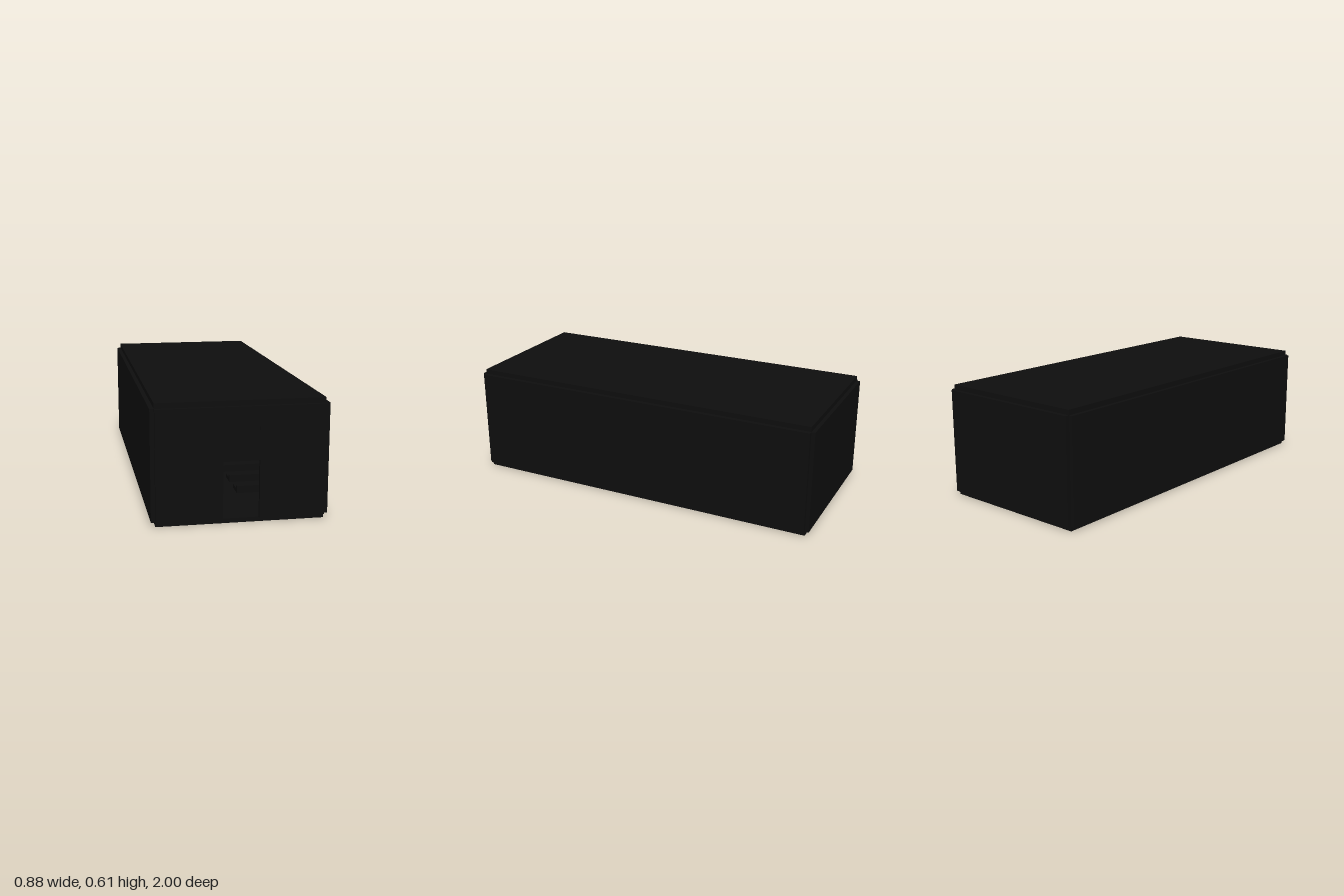
import * as THREE from 'three';

export function createModel() {
  const group = new THREE.Group();
  const wall = new THREE.MeshStandardMaterial({ name: 'black wall', color: 0x0e0e0e });
  const screenGrey = new THREE.MeshStandardMaterial({ name: 'screen grey', color: 0x959aa3 });

  // Box given by its limits on each axis
  function box(name, x0, x1, y0, y1, z0, z1, material = wall) {
    const mesh = new THREE.Mesh(new THREE.BoxGeometry(x1 - x0, y1 - y0, z1 - z0), material);
    mesh.position.set((x0 + x1) / 2, (y0 + y1) / 2, (z0 + z1) / 2);
    mesh.name = name;
    group.add(mesh);
  }

  const X = 0.417, Z = 0.98, Y0 = 0.023, Y1 = 0.58;
  const DOOR = 0.09, DOOR_TOP = 0.315;

  // Outer shell, with slabs stepped in at every edge
  box('floor', -X, X, 0, Y0, -Z, Z);
  box('roof', -X, X, Y1, 0.607, -Z, Z);
  box('backWall', -X, X, Y0, Y1, -1, -Z);
  box('doorHeader', -DOOR, DOOR, DOOR_TOP, Y1, Z, 0.999);
  for (const s of [-1, 1]) {
    const side = s > 0 ? 'left' : 'right';
    const span = (a, b) => (s > 0 ? [a, b] : [-b, -a]);
    box(side + 'Wall', ...span(X, 0.438), Y0, Y1, -Z, Z);
    box(side + 'FrontWall', ...span(DOOR, X), Y0, Y1, Z, 1);

    // Seat rows either side of the aisle
    for (let i = 0; i < 5; i++) {
      const z = 0.6 - i * 0.2;
      box(side + 'SeatRow', ...span(0.062, 0.36), Y0, 0.045, z - 0.1, z);
      box(side + 'SeatBack', ...span(0.062, 0.36), 0.045, 0.062, z - 0.02, z);
    }
    // Small lamps on the stage front
    box(side + 'StageLamp', ...span(0.058, 0.068), 0.106, 0.117, -0.86, -0.855, screenGrey);
  }

  // Stage and projection screen at the far end
  box('stage', -X, X, Y0, 0.127, -Z, -0.86);
  box('stageStep', -0.062, 0.062, Y0, 0.065, -0.86, -0.8);
  box('screen', -0.36, 0.36, 0.127, 0.5, -0.975, -0.967, screenGrey);

  return group;
}
